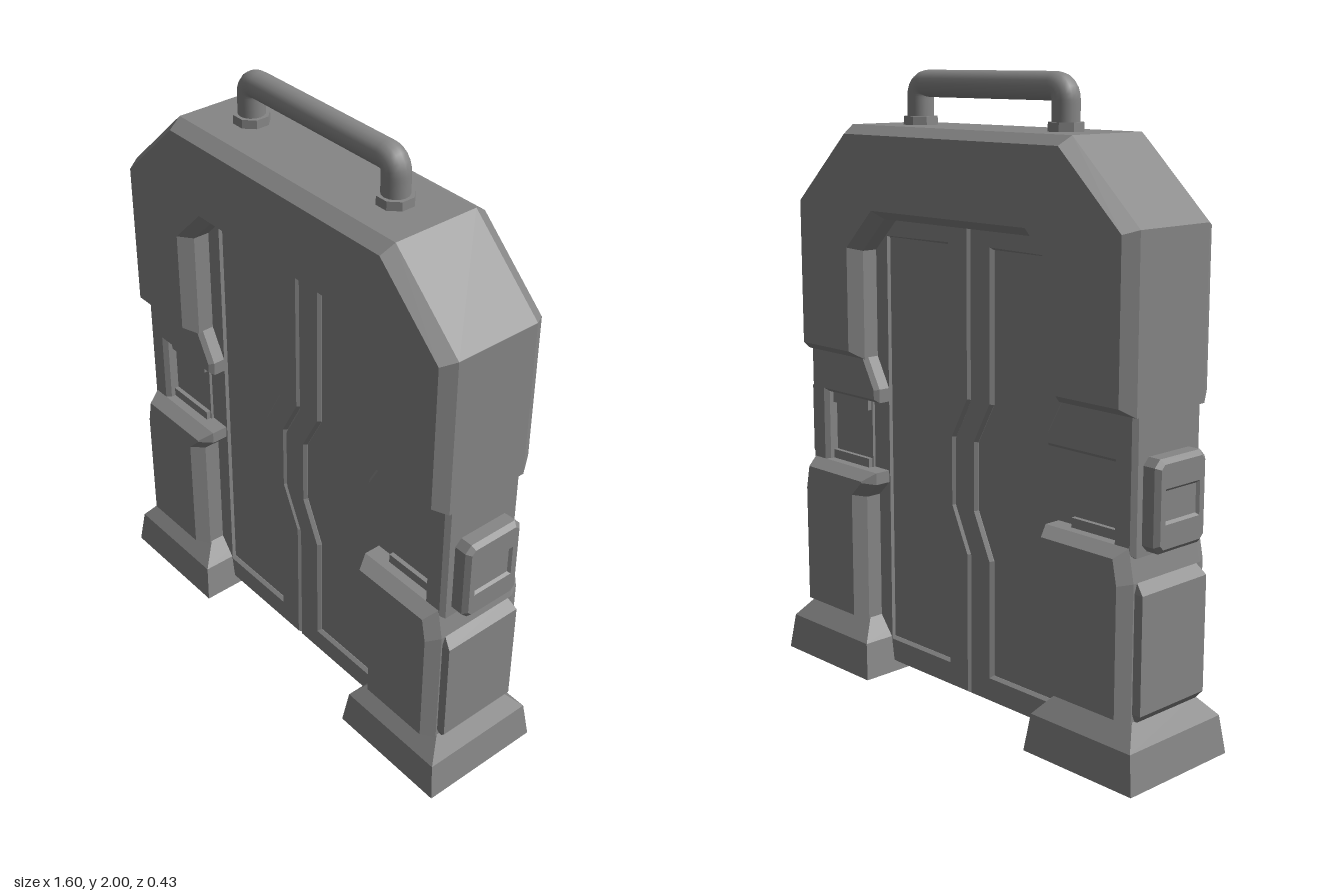
import * as THREE from 'three';

const material = new THREE.MeshStandardMaterial({ color: 0x868686, side: THREE.DoubleSide });

function part(name, geometry, parent) {
  const mesh = new THREE.Mesh(geometry, material);
  mesh.name = name;
  parent.add(mesh);
}

const toPoints = (list) => list.map(([x, y]) => new THREE.Vector2(x, y));

// Chamfered plate from z0 to z1; the outline is its widest contour
function plate(outline, z0, z1, bevel, thickness, hole) {
  const shape = new THREE.Shape(toPoints(outline));
  if (hole) shape.holes.push(new THREE.Path(toPoints(hole)));
  const geometry = new THREE.ExtrudeGeometry(shape, {
    depth: z1 - z0 - 2 * thickness, bevelEnabled: true, bevelSegments: 1,
    bevelSize: bevel, bevelOffset: -bevel, bevelThickness: thickness,
  });
  return geometry.translate(0, 0, z0 + thickness);
}

// Stack of rectangular sections, each [y, xMin, xMax, zHalf]
function stack(sections) {
  const positions = [], index = [];
  for (const [y, a, b, z] of sections) positions.push(a, y, z, b, y, z, b, y, -z, a, y, -z);
  for (let s = 0; s < sections.length - 1; s++) {
    for (let i = 0; i < 4; i++) {
      const p = s * 4 + i, q = s * 4 + (i + 1) % 4;
      index.push(p, q, q + 4, p, q + 4, p + 4);
    }
  }
  const t = (sections.length - 1) * 4;
  index.push(0, 2, 1, 0, 3, 2, t, t + 1, t + 2, t, t + 2, t + 3);
  const geometry = new THREE.BufferGeometry();
  geometry.setAttribute('position', new THREE.Float32BufferAttribute(positions, 3));
  geometry.setIndex(index);
  const flat = geometry.toNonIndexed();
  flat.computeVertexNormals();
  return flat;
}

function box(x0, x1, y0, y1, zHalf) {
  return new THREE.BoxGeometry(x1 - x0, y1 - y0, 2 * zHalf).translate((x0 + x1) / 2, (y0 + y1) / 2, 0);
}

// Rectangle with cut corners, centred on the origin
function cutRect(w, h, c) {
  return [[-w + c, -h], [w - c, -h], [w, -h + c], [w, h - c], [w - c, h], [-w + c, h], [-w, h - c], [-w, -h + c]];
}

// One column of the frame, on the +x side
function createColumn() {
  const column = new THREE.Group();
  part('foot', stack([[0, 0.37, 0.8, 0.213], [0.12, 0.388, 0.782, 0.2], [0.185, 0.44, 0.735, 0.14]]), column);
  part('lowerLeg', plate([[0.44, 0.175], [0.735, 0.175], [0.735, 0.6], [0.715, 0.7], [0.39, 0.7],
    [0.39, 0.66], [0.44, 0.61]], -0.19, 0.19, 0.025, 0.045), column);
  part('legSidePad', stack([[0.185, 0.7, 0.745, 0.13], [0.21, 0.7, 0.765, 0.14],
    [0.57, 0.7, 0.765, 0.14], [0.6, 0.7, 0.735, 0.13]]), column);
  part('middleBracket', plate([[0.44, 1.12], [0.44, 1.08], [0.385, 0.98], [0.385, 0.935], [0.65, 0.935],
    [0.65, 0.67], [0.73, 0.67], [0.73, 1.12]], -0.145, 0.145, 0.012, 0.015), column);
  part('recessPanel', box(0.46, 0.67, 0.67, 0.96, 0.1), column);
  part('recessUpperTrim', box(0.465, 0.66, 0.895, 0.945, 0.115), column);
  part('recessLowerTrim', box(0.465, 0.66, 0.69, 0.73, 0.115), column);
  part('doorJamb', box(0.385, 0.46, 0.03, 1.49, 0.09), column);

  // Side buckle with a shallow window
  const buckle = new THREE.Group();
  buckle.name = 'sideBuckle';
  buckle.position.y = 0.82;
  const rim = plate(cutRect(0.108, 0.137, 0.022), 0.715, 0.785, 0.014, 0.014,
    [[-0.06, -0.038], [0.06, -0.038], [0.06, 0.038], [-0.06, 0.038]]);
  part('buckleRim', rim.rotateY(Math.PI / 2), buckle);
  part('buckleWindow', box(0.72, 0.777, -0.06, 0.06, 0.08), buckle);
  column.add(buckle);
  return column;
}

// Pair of door leaves for one face, meeting at a stepped seam
function createDoorFace() {
  const face = new THREE.Group();
  const seam = [[0, 1.0], [-0.07, 0.87], [-0.07, 0.65], [0, 0.5]];
  for (const side of [1, -1]) {
    const line = (offset, top, bottom) =>
      [[0, top], ...seam, [0, bottom]].map(([x, y]) => [x + side * offset, y]);
    // The leaf wraps around a sunken panel that runs out to the jamb
    const border = [...line(0.001, 1.55, 0.03), [side * 0.43, 0.03], [side * 0.43, 0.12],
      ...line(0.1, 1.475, 0.12).reverse(), [side * 0.43, 1.475], [side * 0.34, 1.55]];
    part(side > 0 ? 'leftDoorLeaf' : 'rightDoorLeaf', plate(border, 0, 0.09, 0.008, 0.012), face);
  }
  return face;
}

export function createModel() {
  const model = new THREE.Group();
  model.name = 'doorway';

  // Arch over the doors
  const half = [[0.735, 1.075], [0.735, 1.59], [0.48, 1.83]];
  const inner = [[0.33, 1.54], [0.44, 1.43], [0.44, 1.075]];
  const mirror = (list) => list.map(([x, y]) => [-x, y]).reverse();
  part('arch', plate([...half, ...mirror(half), ...mirror(inner), ...inner], -0.19, 0.19, 0.028, 0.045), model);

  // The columns and door faces repeat under a half turn
  for (let i = 0; i < 2; i++) {
    const column = createColumn();
    column.name = i ? 'rightColumn' : 'leftColumn';
    const door = createDoorFace();
    door.name = i ? 'backDoors' : 'frontDoors';
    column.rotation.y = door.rotation.y = i * Math.PI;
    model.add(column, door);
  }
  part('doorCore', box(-0.44, 0.44, 0.032, 1.5, 0.076), model);

  // Carrying handle
  const path = new THREE.CurvePath();
  const v = (x, y) => new THREE.Vector3(x, y, 0);
  const x = 0.317, top = 1.958, r = 0.042;
  path.add(new THREE.LineCurve3(v(-x, 1.82), v(-x, top - r)));
  path.add(new THREE.QuadraticBezierCurve3(v(-x, top - r), v(-x, top), v(-x + r, top)));
  path.add(new THREE.LineCurve3(v(-x + r, top), v(x - r, top)));
  path.add(new THREE.QuadraticBezierCurve3(v(x - r, top), v(x, top), v(x, top - r)));
  path.add(new THREE.LineCurve3(v(x, top - r), v(x, 1.82)));
  part('handle', new THREE.TubeGeometry(path, 80, 0.042, 16), model);
  for (const s of [-1, 1]) {
    const collar = new THREE.CylinderGeometry(0.056, 0.058, 0.04, 8).toNonIndexed();
    collar.computeVertexNormals();
    collar.rotateY(Math.PI / 8).translate(s * x, 1.837, 0);
    part('handleCollar', collar, model);
  }
  return model;
}
